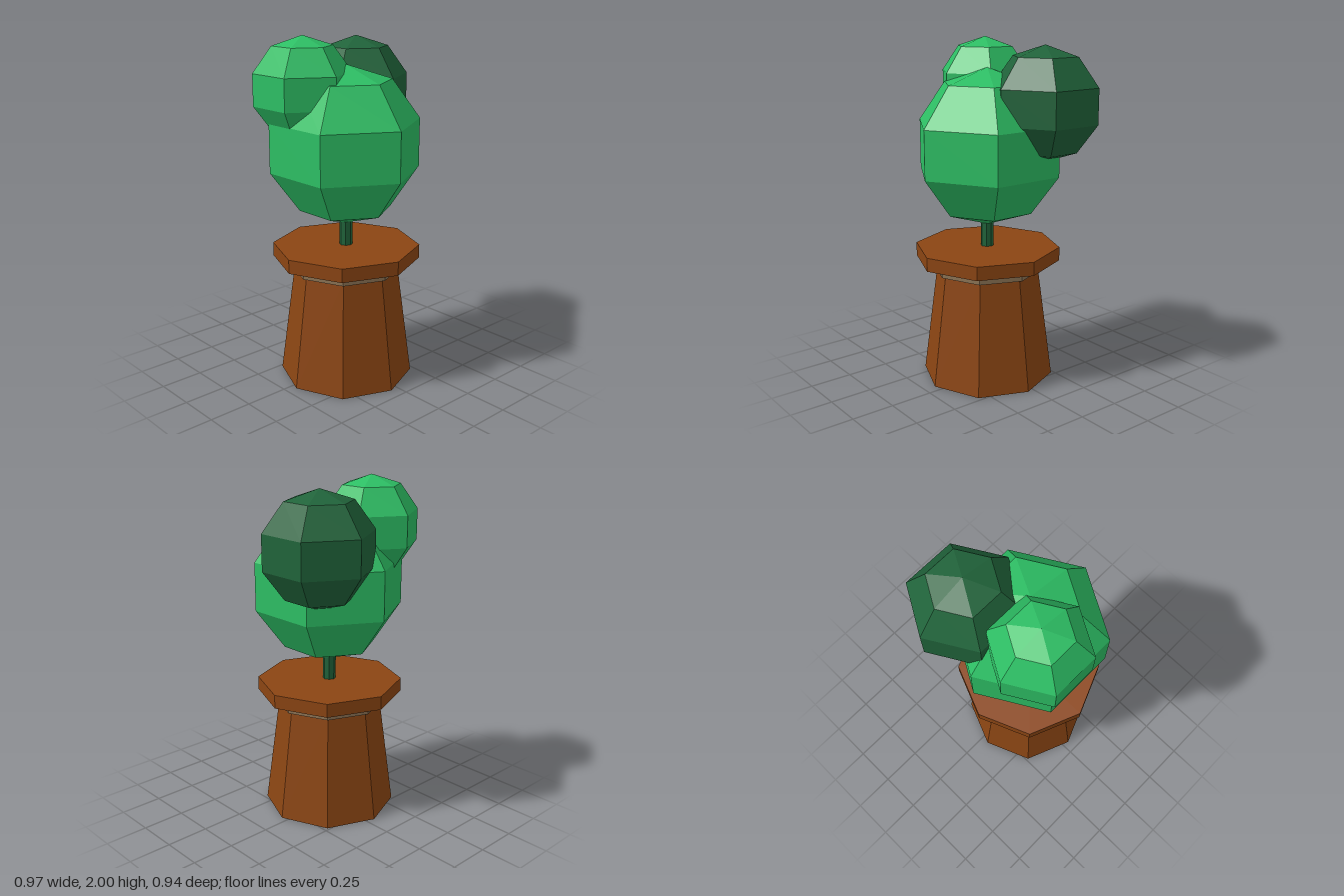
import * as THREE from 'three';

const mat = (color) => new THREE.MeshStandardMaterial({ color, flatShading: true });

export function createModel() {
  const model = new THREE.Group();
  const brown = mat(0x8b4513);
  const tan = mat(0x8b7355);
  const green = mat(0x2dbe64);
  const darkGreen = mat(0x20633a);
  const cx = -0.05, cz = 0.04;

  // Eight-sided stacked pieces sharing the pot's axis
  const tier = (name, rTop, rBottom, y0, y1, material) => {
    const mesh = new THREE.Mesh(new THREE.CylinderGeometry(rTop, rBottom, y1 - y0, 8), material);
    mesh.name = name;
    mesh.position.set(cx, (y0 + y1) / 2, cz);
    model.add(mesh);
  };
  tier('potBody', 0.3, 0.39, 0, 0.68, brown);
  tier('potCollar', 0.325, 0.325, 0.66, 0.72, tan);
  tier('potRim', 0.427, 0.427, 0.72, 0.8, brown);
  tier('stem', 0.038, 0.038, 0.79, 1.1, darkGreen);

  // Faceted leaf balls, with a corner facing the front
  const ball = (name, r, x, y, z, material) => {
    const mesh = new THREE.Mesh(new THREE.SphereGeometry(r, 6, 5).rotateY(Math.PI / 2), material);
    mesh.name = name;
    mesh.position.set(x, y, z);
    model.add(mesh);
  };
  ball('mainFoliage', 0.456, -0.048, 1.384, 0.036, green);
  ball('rightFoliage', 0.291, -0.245, 1.709, -0.097, green);
  ball('leftFoliage', 0.327, 0.215, 1.643, -0.164, darkGreen);

  return model;
}
